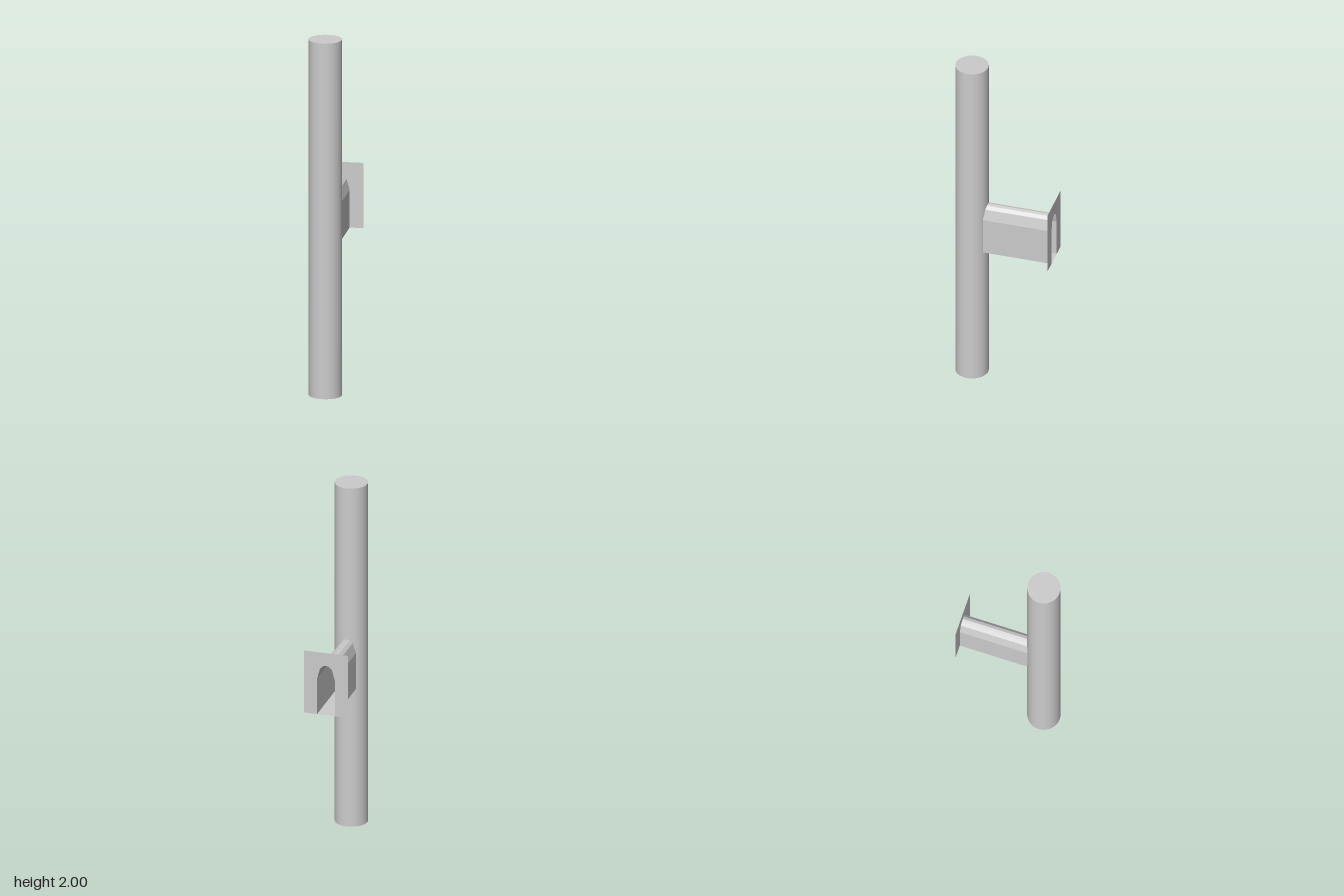
import * as THREE from 'three';

const R = 0.0905, POLE_Z = 0.186, BACK = -0.277;
const BOTTOM = 0.815, SPRING = 1.027, RISE = 0.08, HALF = 0.05;

// arch curve from the right springing point to the left one
function archPoints() {
  const pts = [];
  for (let i = -3; i <= 3; i++) {
    const t = i / 3;
    pts.push([t * HALF, SPRING + RISE * Math.sqrt(1 - t * t)]);
  }
  return pts;
}

// arched duct wall running from the back plate to the pole surface
function ductGeometry() {
  const loop = archPoints();
  for (let i = 3; i >= -3; i--) loop.push([(i / 3) * HALF, BOTTOM]);
  const pos = [];
  loop.forEach(([x0, y0], i) => {
    const [x1, y1] = loop[(i + 1) % loop.length];
    const f0 = POLE_Z - Math.sqrt(R * R - x0 * x0);
    const f1 = POLE_Z - Math.sqrt(R * R - x1 * x1);
    pos.push(x0, y0, BACK, x0, y0, f0, x1, y1, f1);
    pos.push(x0, y0, BACK, x1, y1, f1, x1, y1, BACK);
  });
  const g = new THREE.BufferGeometry();
  g.setAttribute('position', new THREE.Float32BufferAttribute(pos, 3));
  g.computeVertexNormals();
  return g;
}

// thin plate with an arched notch open at its lower edge
function plateGeometry() {
  const s = new THREE.Shape();
  s.moveTo(-0.125, BOTTOM);
  s.lineTo(-HALF, BOTTOM);
  archPoints().forEach(([x, y]) => s.lineTo(x, y));
  s.lineTo(HALF, BOTTOM);
  s.lineTo(0.125, BOTTOM);
  s.lineTo(0.125, 1.182);
  s.lineTo(-0.125, 1.182);
  s.closePath();
  return new THREE.ShapeGeometry(s);
}

export function createModel() {
  const group = new THREE.Group();
  const solid = new THREE.MeshStandardMaterial({ color: 0xcccccc });
  const thin = new THREE.MeshStandardMaterial({ color: 0xcccccc, side: THREE.DoubleSide, flatShading: true });
  const add = (name, geometry, material) => {
    const mesh = new THREE.Mesh(geometry, material);
    mesh.name = name;
    group.add(mesh);
    return mesh;
  };

  add('pole', new THREE.CylinderGeometry(R, R, 2, 48), solid).position.set(0, 1, POLE_Z);
  add('archedBracket', ductGeometry(), thin);
  add('mountingPlate', plateGeometry(), thin).position.z = BACK;
  return group;
}
